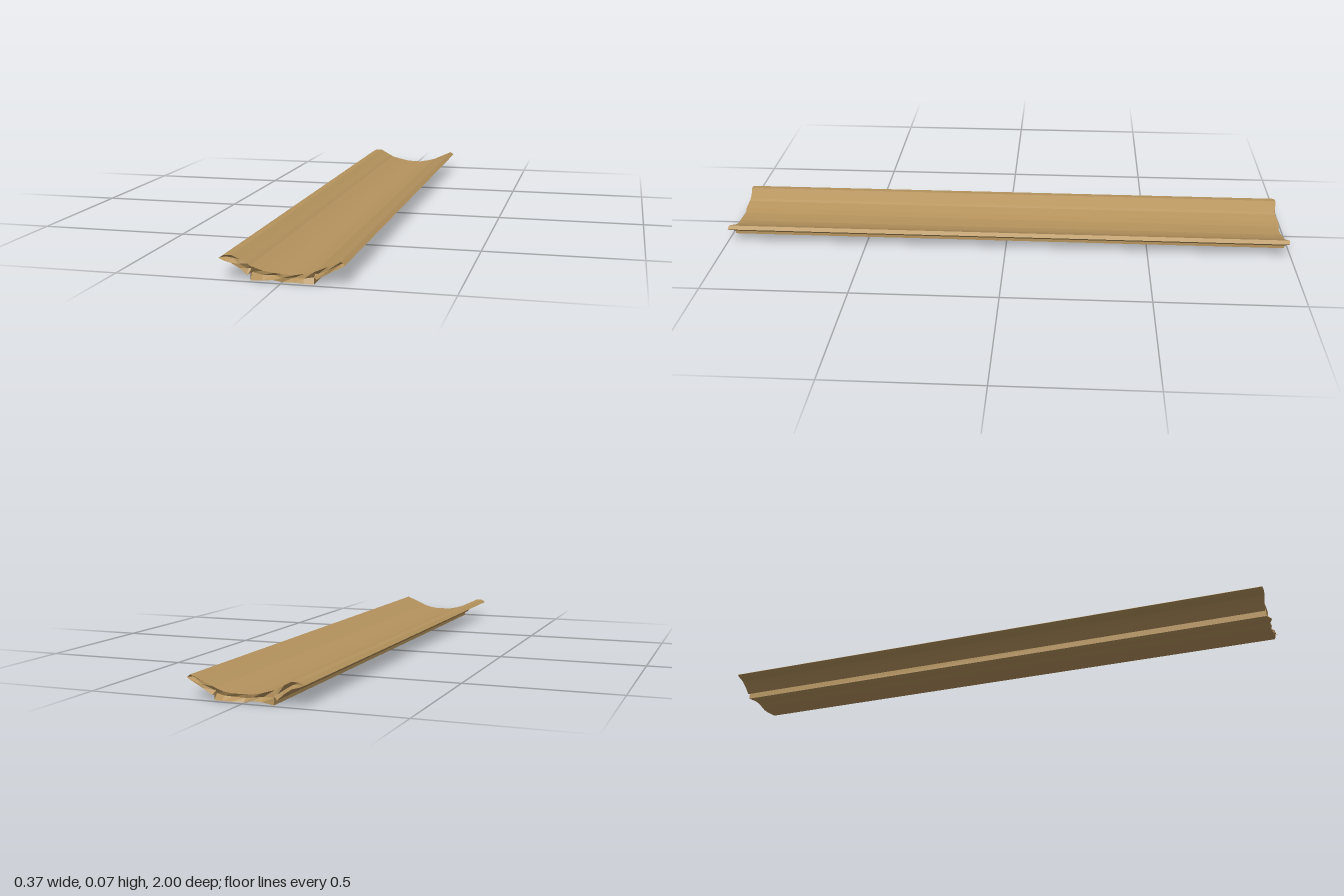
import * as THREE from 'three';

// Cross-section columns: x, top y, underside y (repeated x makes an upright step)
const section = [
  [-0.185, 0.062, 0.062], [-0.17, 0.071, 0.056], [-0.148, 0.072, 0.05],
  [-0.125, 0.06, 0.035], [-0.103, 0.049, 0.015], [-0.093, 0.043, 0.026],
  [-0.093, 0.043, 0], [-0.055, 0.032, 0.006], [-0.025, 0.026, 0.007],
  [0, 0.025, 0.001], [0.035, 0.024, 0.003], [0.065, 0.029, 0.003],
  [0.095, 0.037, 0.001], [0.095, 0.037, 0.022], [0.102, 0.04, 0.015],
  [0.135, 0.055, 0.034], [0.172, 0.071, 0.054], [0.184, 0.061, 0.061],
];

// Broken ends: z along the top edge, the middle of the break and the lower edge
const frontEnd = x => [
  0.987 + 0.003 * Math.sin(x * 70),
  0.980 + 0.008 * Math.sin(x * 95 + 1),
  0.990 + 0.005 * Math.sin(x * 55 - 2) + (Math.abs(x + 0.055) < 0.02 ? 0.005 : 0),
];
const backEnd = x => [
  -0.985 + 0.004 * Math.sin(x * 60 + 1),
  -0.978 + 0.007 * Math.sin(x * 85),
  -0.986 - 0.014 * Math.exp(-(((x - 0.05) / 0.03) ** 2)),
];

function plankGeometry() {
  const positions = [];
  const quad = (a, b, c, d) => positions.push(...a, ...b, ...c, ...a, ...c, ...d);
  const column = ([x, top, bottom], end) => {
    const z = end(x);
    return [[x, top, z[0]], [x, (top + bottom) / 2, z[1]], [x, bottom, z[2]]];
  };
  for (let i = 0; i < section.length - 1; i++) {
    const lf = column(section[i], frontEnd), rf = column(section[i + 1], frontEnd);
    const lb = column(section[i], backEnd), rb = column(section[i + 1], backEnd);
    quad(lf[0], rf[0], rb[0], lb[0]); // hollow upper face
    quad(lf[2], lb[2], rb[2], rf[2]); // underside
    for (let k = 0; k < 2; k++) {     // splintered ends
      quad(lf[k + 1], rf[k + 1], rf[k], lf[k]);
      quad(rb[k + 1], lb[k + 1], lb[k], rb[k]);
    }
  }
  // Outer rims, where the ends' three rows meet the long faces
  for (const [i, flip] of [[0, false], [section.length - 1, true]]) {
    const f = column(section[i], frontEnd), b = column(section[i], backEnd);
    for (let k = 0; k < 2; k++) {
      if (flip) quad(f[k], f[k + 1], b[k + 1], b[k]);
      else quad(f[k], b[k], b[k + 1], f[k + 1]);
    }
  }
  const geometry = new THREE.BufferGeometry();
  geometry.setAttribute('position', new THREE.Float32BufferAttribute(positions, 3));
  geometry.computeVertexNormals();
  return geometry;
}

export function createModel() {
  const group = new THREE.Group();
  group.name = 'brokenPlank';
  const wood = new THREE.MeshStandardMaterial({ color: 0xb5935d, flatShading: true });
  const plank = new THREE.Mesh(plankGeometry(), wood);
  plank.name = 'hollowPlank';
  group.add(plank);
  return group;
}
